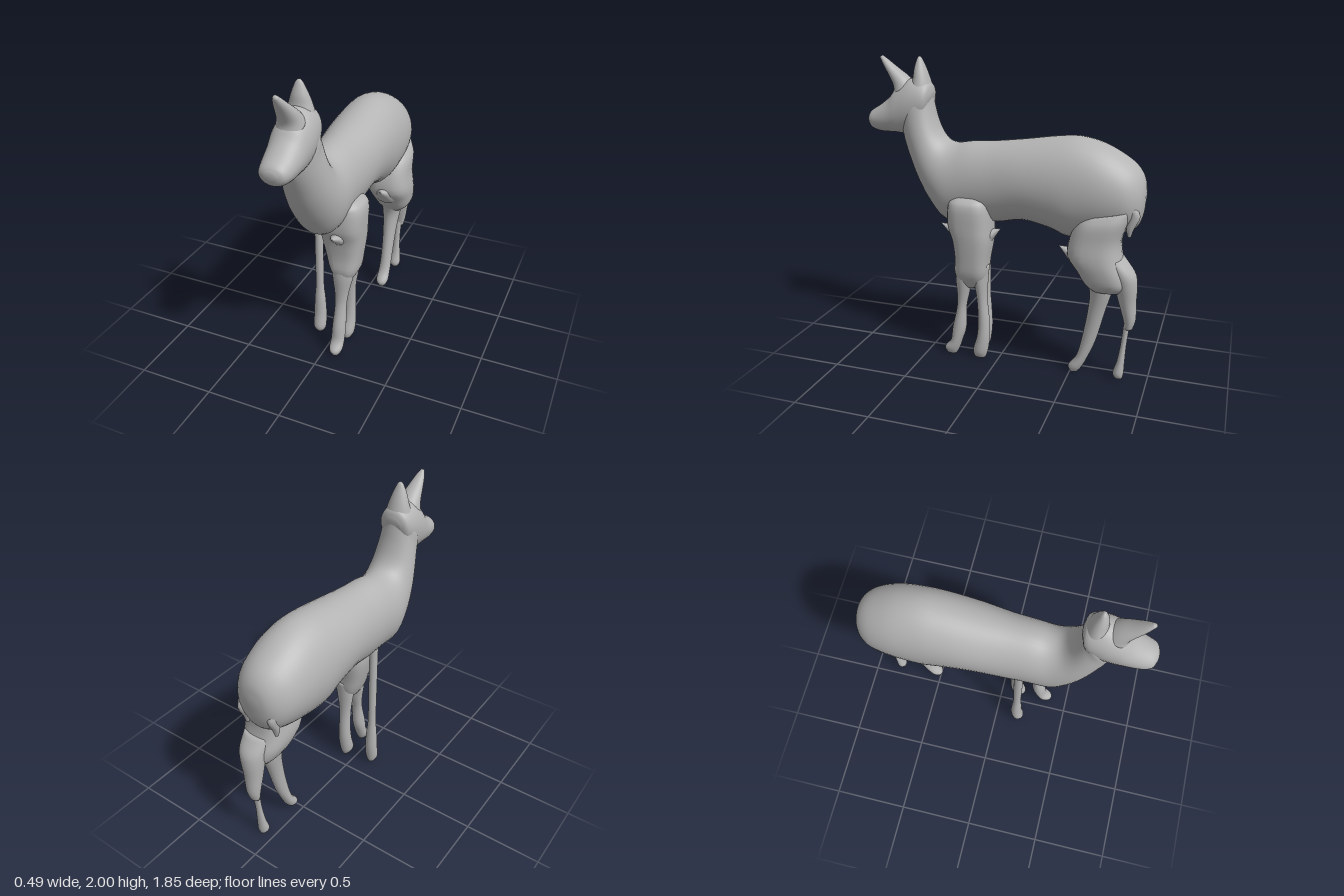
import * as THREE from 'three';

const CX = -0.018; // slight sideways offset of the trunk

// Skin a smooth surface through rings. Each ring: [z1, y1, z2, y2, halfWidth, xCentre],
// where points 1 and 2 are opposite ends of the ring in the side plane.
function loft(rings, { sides = 28, steps = 4, power = 1 } = {}) {
  const a = new THREE.CatmullRomCurve3(rings.map(r => new THREE.Vector3(r[0], r[1], r[4])), false, 'catmullrom');
  const b = new THREE.CatmullRomCurve3(rings.map(r => new THREE.Vector3(r[2], r[3], r[5] ?? CX)), false, 'catmullrom');
  const n = (rings.length - 1) * steps;
  const pos = [], index = [];
  const soft = v => Math.sign(v) * Math.abs(v) ** power;
  for (let i = 0; i <= n; i++) {
    const p = a.getPoint(i / n), q = b.getPoint(i / n);
    for (let j = 0; j < sides; j++) {
      const t = (j / sides) * Math.PI * 2, c = soft(Math.cos(t)), s = soft(Math.sin(t));
      pos.push(q.z + p.z * s, (p.y + q.y) / 2 + (p.y - q.y) / 2 * c, (p.x + q.x) / 2 + (p.x - q.x) / 2 * c);
    }
  }
  for (let i = 0; i < n; i++) for (let j = 0; j < sides; j++) {
    const k = (j + 1) % sides, u = i * sides, v = u + sides;
    index.push(u + j, v + j, u + k, u + k, v + j, v + k);
  }
  // end caps
  for (const [i, first] of [[0, true], [n, false]]) {
    const p = a.getPoint(i / n), q = b.getPoint(i / n), centre = pos.length / 3;
    pos.push(q.z, (p.y + q.y) / 2, (p.x + q.x) / 2);
    for (let j = 0; j < sides; j++) {
      const u = i * sides + j, w = i * sides + (j + 1) % sides;
      if (first) index.push(centre, u, w); else index.push(centre, w, u);
    }
  }
  const g = new THREE.BufferGeometry();
  g.setAttribute('position', new THREE.Float32BufferAttribute(pos, 3));
  g.setIndex(index);
  g.computeVertexNormals();
  return g;
}

// Level leg ring: height, front z, back z, inner x, outer x
const level = (y, zf, zb, x0, x1) => [zf, y, zb, y, (x1 - x0) / 2, (x0 + x1) / 2];

// Flattened spur pointing from base to tip
function spur(base, tip, radius) {
  const from = new THREE.Vector3(...base), to = new THREE.Vector3(...tip);
  const dir = to.clone().sub(from), len = dir.length();
  const g = new THREE.ConeGeometry(radius, len, 12, 2);
  g.scale(1.1, 1, 0.8);
  g.applyQuaternion(new THREE.Quaternion().setFromUnitVectors(new THREE.Vector3(0, 1, 0), dir.normalize()));
  const mid = from.add(to).multiplyScalar(0.5);
  return g.translate(mid.x, mid.y, mid.z);
}

export function createModel() {
  const model = new THREE.Group();
  const coat = new THREE.MeshStandardMaterial({ color: 0xb4b4b4 });
  coat.name = 'grey coat';
  const add = (name, geometry) => {
    const mesh = new THREE.Mesh(geometry, coat);
    mesh.name = name;
    model.add(mesh);
  };

  // Trunk and neck, rump to throat
  add('bodyAndNeck', loft([
    [-0.92, 1.24, -0.92, 1.18, 0.03],
    [-0.905, 1.32, -0.905, 1.07, 0.10],
    [-0.86, 1.39, -0.87, 1.0, 0.155],
    [-0.78, 1.45, -0.8, 0.965, 0.198],
    [-0.65, 1.515, -0.65, 0.93, 0.225],
    [-0.5, 1.55, -0.46, 0.905, 0.23],
    [-0.35, 1.54, -0.33, 0.95, 0.226],
    [-0.15, 1.51, -0.15, 0.985, 0.215],
    [0.05, 1.485, 0.02, 0.955, 0.198],
    [0.2, 1.475, 0.2, 0.945, 0.19],
    [0.3, 1.46, 0.38, 0.94, 0.185],
    [0.37, 1.475, 0.49, 1.06, 0.175],
    [0.42, 1.53, 0.57, 1.2, 0.16],
    [0.455, 1.62, 0.625, 1.33, 0.142],
    [0.475, 1.72, 0.67, 1.46, 0.125],
    [0.49, 1.8, 0.68, 1.56, 0.118],
    [0.54, 1.82, 0.66, 1.68, 0.07],
  ], { sides: 40 }));

  // Head, nape to nose
  add('head', loft([
    [0.47, 1.77, 0.49, 1.69, 0.05],
    [0.495, 1.84, 0.52, 1.6, 0.105],
    [0.6, 1.865, 0.6, 1.52, 0.123],
    [0.71, 1.81, 0.67, 1.5, 0.12],
    [0.77, 1.74, 0.74, 1.503, 0.112],
    [0.84, 1.685, 0.84, 1.505, 0.1],
    [0.905, 1.645, 0.9, 1.525, 0.078],
    [0.927, 1.61, 0.925, 1.57, 0.03],
  ], { sides: 32 }));

  // Ears, one leaning forward and one upright
  add('forwardEar', loft([
    [0.59, 1.82, 0.75, 1.74, 0.085],
    [0.65, 1.875, 0.74, 1.8, 0.07],
    [0.72, 1.925, 0.77, 1.865, 0.052],
    [0.785, 1.975, 0.81, 1.93, 0.032],
    [0.82, 2.0, 0.84, 1.985, 0.012],
  ]));
  add('uprightEar', loft([
    [0.475, 1.79, 0.63, 1.79, 0.09],
    [0.495, 1.86, 0.605, 1.86, 0.07],
    [0.515, 1.92, 0.597, 1.92, 0.05],
    [0.54, 1.98, 0.578, 1.98, 0.024],
    [0.555, 2.0, 0.565, 2.0, 0.008],
  ]));

  // Front left shoulder slab and its two shanks
  add('frontShoulder', loft([
    level(1.14, 0.28, 0.09, -0.02, 0.17),
    level(1.09, 0.32, 0.05, -0.05, 0.222),
    level(0.95, 0.33, 0.04, -0.07, 0.222),
    level(0.85, 0.3, 0.04, -0.065, 0.215),
    level(0.72, 0.285, 0.06, -0.035, 0.2),
    level(0.62, 0.29, 0.07, -0.005, 0.185),
    level(0.55, 0.26, 0.1, 0.03, 0.15),
    level(0.51, 0.21, 0.16, 0.06, 0.12),
  ], { power: 0.7, steps: 3 }));
  add('frontShankFore', loft([
    level(0.68, 0.28, 0.16, 0.02, 0.17),
    level(0.57, 0.29, 0.18, 0.02, 0.16),
    level(0.45, 0.285, 0.205, 0.038, 0.135),
    level(0.35, 0.29, 0.225, 0.045, 0.125),
    level(0.2, 0.325, 0.23, 0.037, 0.128),
    level(0.1, 0.34, 0.26, 0.036, 0.128),
    level(0.04, 0.385, 0.28, 0.038, 0.126),
    level(0.0, 0.37, 0.3, 0.06, 0.108),
  ]));
  add('frontShankRear', loft([
    level(0.68, 0.19, 0.06, 0.02, 0.17),
    level(0.57, 0.165, 0.07, 0.025, 0.155),
    level(0.42, 0.145, 0.075, 0.04, 0.13),
    level(0.26, 0.14, 0.062, 0.04, 0.126),
    level(0.15, 0.15, 0.062, 0.035, 0.13),
    level(0.05, 0.178, 0.075, 0.035, 0.128),
    level(0.0, 0.17, 0.09, 0.06, 0.108),
  ]));
  add('frontSpurFore', spur([0.08, 0.87, 0.26], [0.08, 0.935, 0.4], 0.065));
  add('frontSpurRear', spur([0.08, 0.87, 0.08], [0.08, 0.935, -0.02], 0.065));

  // Thin straight front leg on the other side
  add('thinFrontLeg', loft([
    level(1.08, 0.18, 0.12, -0.148, -0.09),
    level(0.7, 0.18, 0.12, -0.146, -0.09),
    level(0.4, 0.178, 0.122, -0.146, -0.09),
    level(0.28, 0.185, 0.115, -0.155, -0.08),
    level(0.15, 0.19, 0.11, -0.161, -0.073),
    level(0.05, 0.205, 0.12, -0.16, -0.073),
    level(0.005, 0.18, 0.13, -0.14, -0.095),
  ]));

  // Hind thigh with its shank, hock and thin lower leg
  add('hindThigh', loft([
    [-0.56, 1.08, -0.845, 1.135, 0.09, 0.1],
    [-0.52, 1.03, -0.835, 1.06, 0.138, 0.085],
    level(0.94, -0.48, -0.8, -0.055, 0.23),
    level(0.83, -0.47, -0.81, -0.065, 0.243),
    level(0.74, -0.53, -0.84, -0.05, 0.235),
    level(0.66, -0.58, -0.85, -0.01, 0.215),
    level(0.61, -0.63, -0.82, 0.03, 0.17),
  ], { power: 0.75, steps: 3 }));
  add('hindSpur', spur([0.09, 0.79, -0.55], [0.09, 0.868, -0.405], 0.085));
  add('hindShank', loft([
    level(0.72, -0.55, -0.76, 0.0, 0.18),
    level(0.6, -0.61, -0.755, 0.02, 0.155),
    level(0.45, -0.605, -0.715, 0.035, 0.135),
    level(0.25, -0.572, -0.665, 0.042, 0.125),
    level(0.12, -0.54, -0.615, 0.04, 0.125),
    level(0.045, -0.488, -0.58, 0.038, 0.126),
    level(0.005, -0.5, -0.55, 0.06, 0.108),
  ]));
  add('hindHock', loft([
    level(0.83, -0.7, -0.825, 0.0, 0.2),
    level(0.74, -0.74, -0.895, 0.01, 0.195),
    level(0.66, -0.765, -0.912, 0.015, 0.18),
    level(0.55, -0.795, -0.91, 0.025, 0.155),
    level(0.43, -0.83, -0.912, 0.035, 0.135),
    level(0.36, -0.845, -0.895, 0.045, 0.12),
  ]));
  add('hindLowerLeg', loft([
    level(0.42, -0.84, -0.88, 0.055, 0.112),
    level(0.25, -0.825, -0.862, 0.06, 0.106),
    level(0.12, -0.805, -0.855, 0.05, 0.115),
    level(0.04, -0.782, -0.852, 0.042, 0.122),
    level(0.003, -0.795, -0.845, 0.06, 0.106),
  ]));

  // Small ragged tail ends under the rump
  for (const x of [-0.12, 0.1]) {
    add(x < 0 ? 'rightTailEnd' : 'leftTailEnd', loft([
      level(1.16, -0.82, -0.88, x - 0.035, x + 0.035),
      level(1.1, -0.83, -0.905, x - 0.03, x + 0.03),
      level(1.02, -0.825, -0.87, x - 0.025, x + 0.025),
      level(0.97, -0.835, -0.855, x - 0.01, x + 0.01),
    ], { sides: 14 }));
  }
  return model;
}
